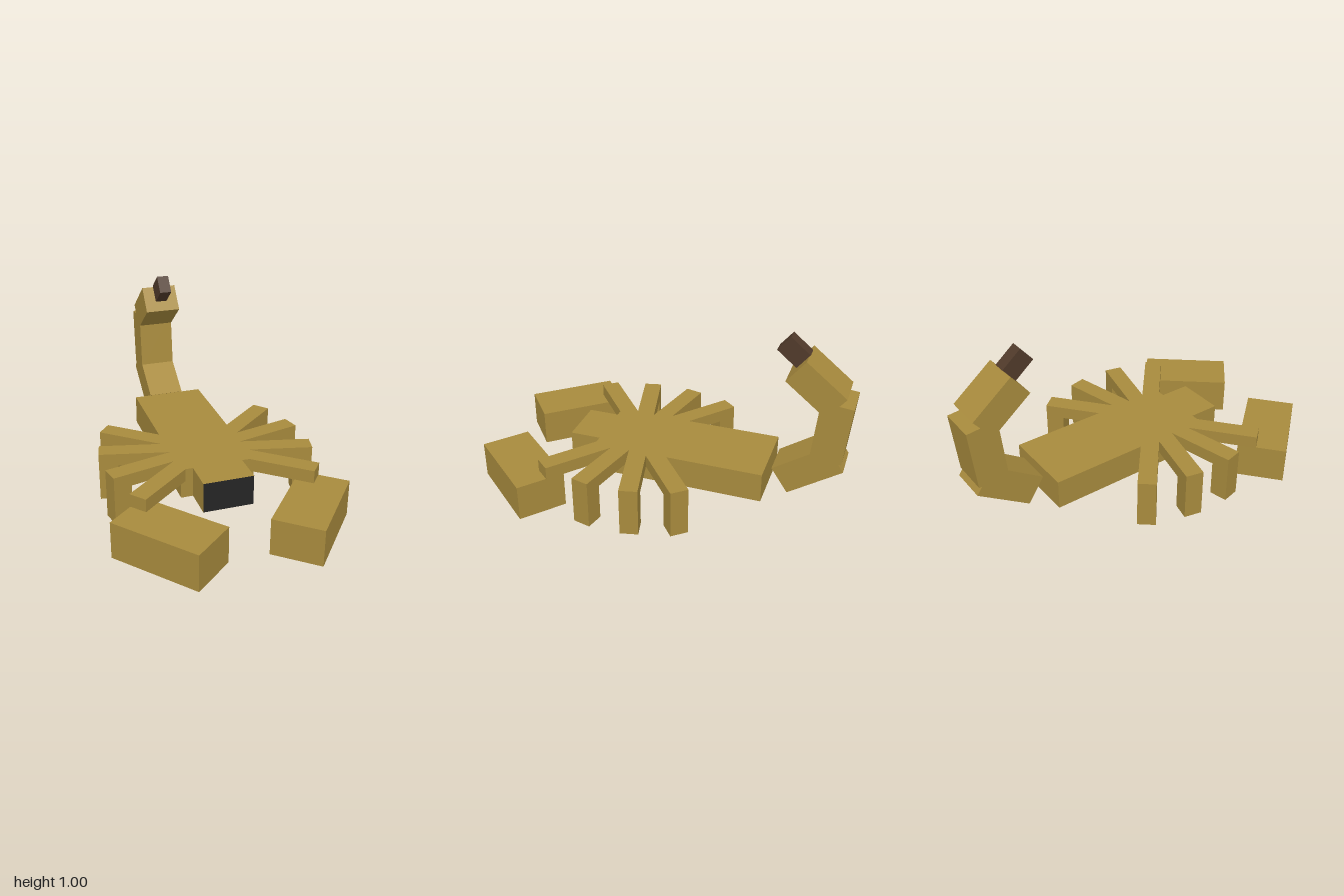
import * as THREE from 'three';

export function createModel() {
  const model = new THREE.Group();
  const mat = (name, color) => {
    const m = new THREE.MeshStandardMaterial({ color });
    m.name = name;
    return m;
  };
  const tan = mat('tan shell', 0xa78a3d);
  const brown = mat('brown stinger', 0x503a2a);
  const black = mat('black face', 0x252525);

  const box = (parent, name, size, pos, material = tan) => {
    const mesh = new THREE.Mesh(new THREE.BoxGeometry(...size), material);
    mesh.name = name;
    mesh.position.set(...pos);
    parent.add(mesh);
    return mesh;
  };

  // Body, and head with a black front
  box(model, 'body', [0.4, 0.165, 0.94], [0, 0.1875, -0.115]);
  box(model, 'head', [0.27, 0.165, 0.17], [0, 0.1875, 0.44], [tan, tan, tan, tan, black, tan]);

  // Limbs: outer end point (x, z), and swing towards the back in radians
  const limbs = [
    ['frontArm', 0.475, 0.541, -0.695, 0.4],
    ['frontLeg', 0.557, 0.288, -0.23, 0.385],
    ['middleLeg', 0.557, 0.02, 0.23, 0.385],
    ['backLeg', 0.475, -0.227, 0.695, 0.4],
  ];
  for (const side of [1, -1]) {
    const label = side > 0 ? 'left' : 'right';
    for (const [name, x, z, swing, length] of limbs) {
      const limb = new THREE.Group();
      limb.name = `${label} ${name}`;
      limb.position.set(side * x, 0, z);
      limb.rotation.y = side * swing;
      box(limb, 'upperLimb', [length, 0.07, 0.098], [-side * length / 2, 0.235, 0]);
      // Only the walking legs reach the ground; the arms rest on the claws
      if (name !== 'frontArm') box(limb, 'foot', [0.1, 0.2, 0.098], [-side * 0.05, 0.1, 0]);
      model.add(limb);
    }
    const claw = box(model, `${label} claw`, [0.267, 0.2, 0.497], [side * 0.368, 0.1, 0.717]);
    claw.rotation.y = -side * 0.7;
  }

  // Tail segments curling up and forward: [name, width, height, length, y, z, pitch]
  const tail = [
    ['tailBase', 0.2, 0.162, 0.336, 0.284, -0.798, 0.592],
    ['tailMiddle', 0.2, 0.166, 0.33, 0.525, -0.9025, 1.473],
    ['tailTip', 0.2, 0.156, 0.274, 0.758, -0.806, -0.675],
    ['stinger', 0.067, 0.103, 0.133, 0.913, -0.67, -0.69],
  ];
  for (const [name, w, h, l, y, z, pitch] of tail) {
    const segment = box(model, name, [w, h, l], [0, y, z], name === 'stinger' ? brown : tan);
    segment.rotation.x = pitch;
  }
  return model;
}
